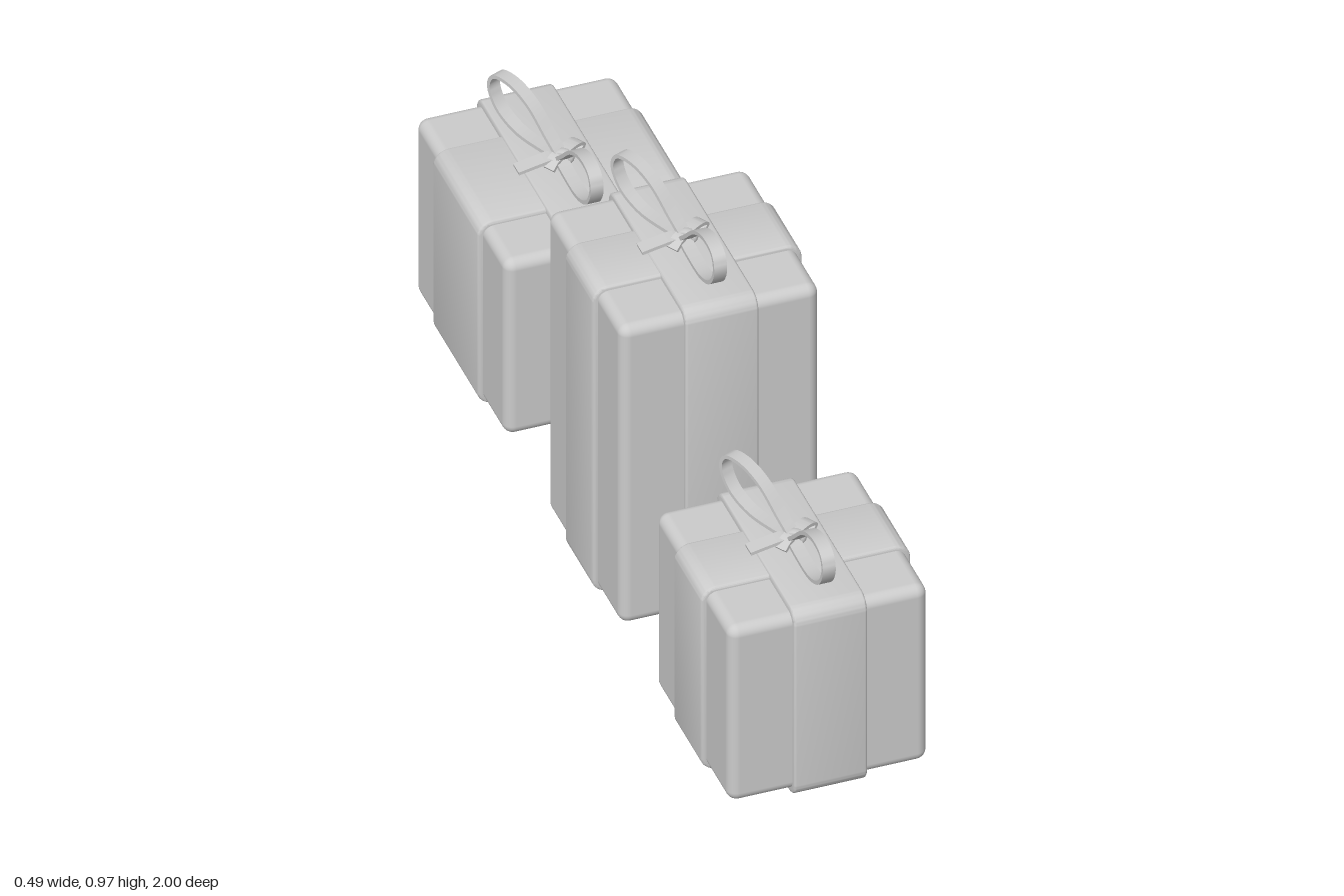
import * as THREE from 'three';
import { RoundedBoxGeometry } from 'three/addons/geometries/RoundedBoxGeometry.js';
import { toCreasedNormals } from 'three/addons/utils/BufferGeometryUtils.js';

const material = new THREE.MeshStandardMaterial({ color: 0xcccccc });

function add(parent, name, geometry, x = 0, y = 0, z = 0) {
  const mesh = new THREE.Mesh(geometry, material);
  mesh.name = name;
  mesh.position.set(x, y, z);
  parent.add(mesh);
  return mesh;
}

// Broad ribbon around a box: rounded rectangle with softened edges, band wide along z
function wrapGeometry(w, h, band) {
  const b = 0.006, r = 0.03, x = w / 2 - b, y = h / 2 - b;
  const s = new THREE.Shape();
  s.moveTo(-x + r, -y);
  s.lineTo(x - r, -y);
  s.absarc(x - r, -y + r, r, -Math.PI / 2, 0);
  s.absarc(x - r, y - r, r, 0, Math.PI / 2);
  s.absarc(-x + r, y - r, r, Math.PI / 2, Math.PI);
  s.absarc(-x + r, -y + r, r, Math.PI, Math.PI * 1.5);
  const g = new THREE.ExtrudeGeometry(s, {
    depth: band - 2 * b, bevelSize: b, bevelThickness: b, bevelSegments: 3, curveSegments: 6,
  });
  g.translate(0, 0, -band / 2 + b);
  return toCreasedNormals(g, 0.7);
}

// Thin strip following a path in the xy plane, turned about y by angle
function stripGeometry(path, width, thickness, angle, steps = 48) {
  const curve = new THREE.CatmullRomCurve3(path.map(([x, y]) => new THREE.Vector3(x, y, 0)));
  const outer = [], inner = [];
  for (let i = 0; i <= steps; i++) {
    const p = curve.getPoint(i / steps), t = curve.getTangent(i / steps);
    const nx = -t.y * thickness / 2, ny = t.x * thickness / 2;
    outer.push(new THREE.Vector2(p.x + nx, p.y + ny));
    inner.unshift(new THREE.Vector2(p.x - nx, p.y - ny));
  }
  const g = new THREE.ExtrudeGeometry(new THREE.Shape([...outer, ...inner]), {
    depth: width, bevelEnabled: false,
  });
  g.translate(0, 0, -width / 2);
  g.rotateY(angle);
  return toCreasedNormals(g, 0.7);
}

const loopPath = [[0, 0.016], [0.04, 0.052], [0.1, 0.106], [0.16, 0.129], [0.21, 0.122],
  [0.224, 0.09], [0.2, 0.042], [0.14, 0.012], [0.05, 0.009], [0, 0.014]];
const tailPath = [[-0.1, 0.004], [-0.06, 0.012], [-0.02, 0.018], [0.01, 0.014]];
const knotPath = [[-0.04, 0.006], [-0.02, 0.02], [0.02, 0.027], [0.055, 0.025],
  [0.068, 0.016], [0.055, 0.007], [0.01, 0.007]];

function createBow() {
  const bow = new THREE.Group();
  bow.name = 'bow';
  add(bow, 'frontLoop', stripGeometry(loopPath, 0.03, 0.009, -Math.PI / 2));
  add(bow, 'backLoop', stripGeometry(loopPath, 0.03, 0.009, 1.95), 0.005, 0, -0.005);
  add(bow, 'bowTail', stripGeometry(tailPath, 0.035, 0.008, 0), 0, 0, -0.01);
  add(bow, 'knotLoop', stripGeometry(knotPath, 0.03, 0.008, 0.55), 0, 0, -0.005);
  // Small band tied around the middle
  const band = new THREE.TorusGeometry(0.018, 0.007, 8, 24);
  band.scale(1, 0.7, 1.8);
  band.rotateY(-0.7);
  add(bow, 'knotBand', band, 0.008, 0.016, -0.005);
  return bow;
}

// Gift: box, lengthwise and crosswise ribbons, bow
function createGift(name, z, height, depth, crossBand) {
  const gift = new THREE.Group();
  gift.name = name;
  gift.position.z = z;
  const mid = height / 2;
  add(gift, 'box', new RoundedBoxGeometry(0.462, height - 0.03, depth - 0.025, 4, 0.025), 0, mid);
  add(gift, 'crossRibbon', wrapGeometry(0.486, height - 0.01, crossBand), 0, mid);
  const long = wrapGeometry(depth, height, 0.17);
  long.rotateY(Math.PI / 2);
  add(gift, 'lengthRibbon', long, 0, mid);
  const bow = createBow();
  bow.position.set(0, height, 0.005);
  gift.add(bow);
  return gift;
}

export function createModel() {
  const model = new THREE.Group();
  model.name = 'giftBoxes';
  model.add(
    createGift('frontGift', 0.755, 0.505, 0.49, 0.174),
    createGift('tallGift', 0.073, 0.84, 0.49, 0.174),
    createGift('backGift', -0.703, 0.505, 0.594, 0.284),
  );
  return model;
}
